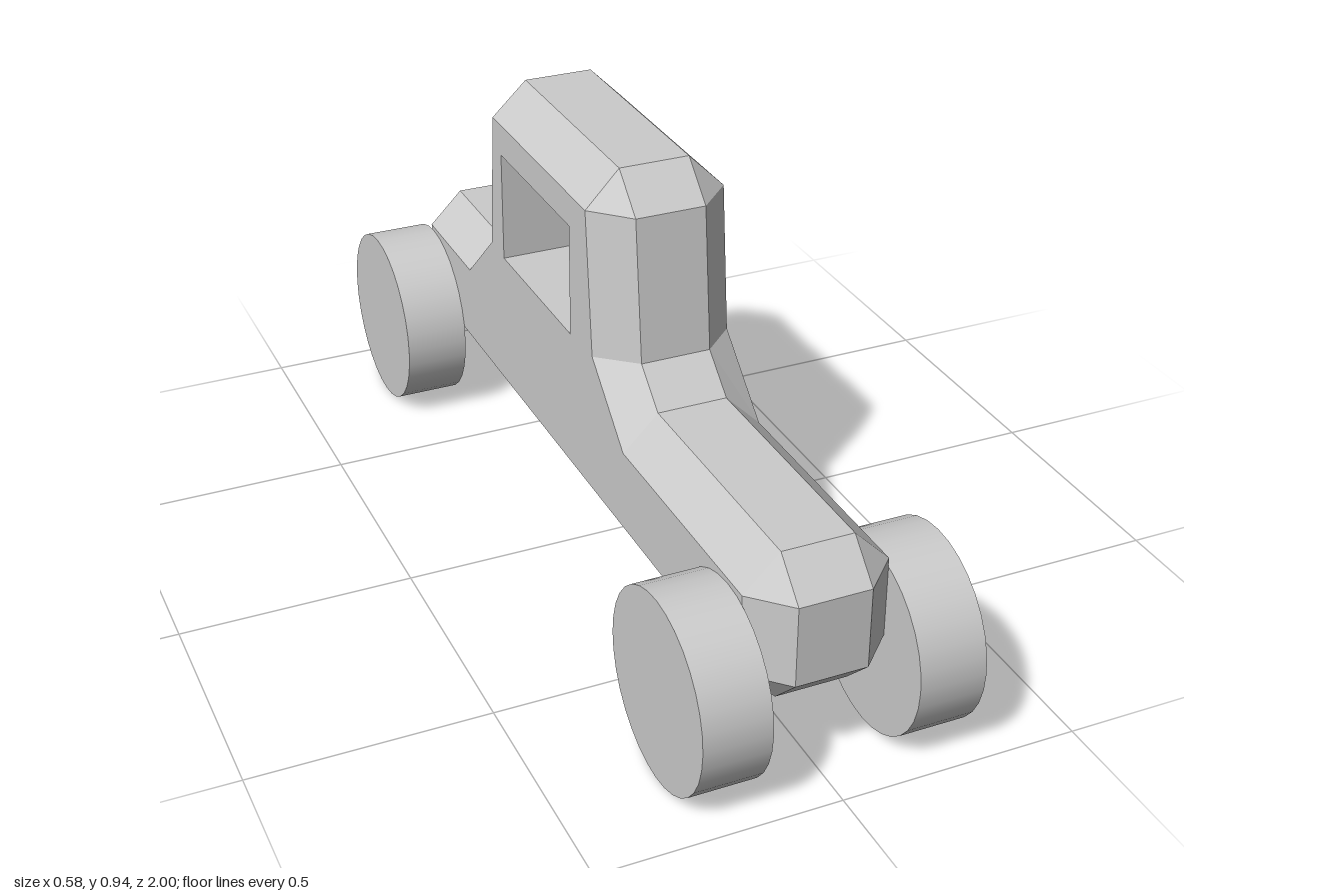
import * as THREE from 'three';

const SIDE = 0.15;   // half width of the flat sides
const MID = 0.075;   // half width of the strip inside the chamfer
const grey = (opts = {}) => new THREE.MeshStandardMaterial({ color: 0xcccccc, ...opts });

// Side outline corners [z, y], each with the chamfered outline point(s) it joins
const corners = [
  { s: [0.86, 0.237], o: [[0.86, 0.163], [0.935, 0.237]] },
  { s: [0.86, 0.41], o: [[0.935, 0.41], [0.86, 0.485]] },
  { s: [0.33, 0.41], o: [[0.33, 0.485]] },
  { s: [0.175, 0.55], o: [[0.25, 0.555]] },
  { s: [0.145, 0.86], o: [[0.22, 0.86], [0.14, 0.935]] },
  { s: [-0.365, 0.86], o: [[-0.36, 0.935], [-0.44, 0.86]] },
  { s: [-0.395, 0.55], o: [[-0.475, 0.555]] },
  { s: [-0.55, 0.41], o: [[-0.55, 0.485]] },
  { s: [-0.815, 0.41], o: [[-0.815, 0.485], [-0.89, 0.41]] },
  { s: [-0.815, 0.237], o: [[-0.89, 0.237], [-0.815, 0.163]] },
];
const opening = [[0.06, 0.545], [-0.32, 0.545], [-0.32, 0.79], [0.06, 0.79]];

const at = (x, [z, y]) => [x, y, z];

function facetMesh(name, triangles) {
  const geo = new THREE.BufferGeometry();
  geo.setAttribute('position', new THREE.Float32BufferAttribute(triangles.flat(2), 3));
  geo.computeVertexNormals();
  const mesh = new THREE.Mesh(geo, grey({ flatShading: true }));
  mesh.name = name;
  return mesh;
}

// Band across the body between half widths +x and -x, following a step p -> q
function band(x, p, q) {
  const [a, b, c, d] = [at(x, p), at(x, q), at(-x, q), at(-x, p)];
  return [[a, b, c], [a, c, d]];
}

// Middle strip plus the chamfers on both sides
function bodyShell() {
  const rungs = corners.flatMap(({ s, o }) => o.map(p => ({ s, p })));
  const tris = [];
  const both = (a, b, c) => {
    const flip = ([x, y, z]) => [-x, y, z];
    tris.push([a, b, c], [flip(a), flip(c), flip(b)]);
  };
  rungs.forEach((r, i) => {
    const n = rungs[(i + 1) % rungs.length];
    tris.push(...band(MID, r.p, n.p));
    if (r.s !== n.s) both(at(SIDE, r.s), at(SIDE, n.s), at(MID, n.p));
    both(at(SIDE, r.s), at(MID, n.p), at(MID, r.p));
  });
  return facetMesh('bodyShell', tris);
}

// Flat side with the window cut out
function sidePanel(sign) {
  const points = list => list.map(([z, y]) => new THREE.Vector2(-sign * z, y));
  const shape = new THREE.Shape(points(corners.map(c => c.s)));
  shape.holes.push(new THREE.Path(points(opening)));
  const geo = new THREE.ShapeGeometry(shape);
  geo.rotateY(sign * Math.PI / 2);
  geo.translate(sign * SIDE, 0, 0);
  const mesh = new THREE.Mesh(geo, grey({ flatShading: true }));
  mesh.name = sign > 0 ? 'leftSide' : 'rightSide';
  return mesh;
}

export function createModel() {
  const car = new THREE.Group();
  car.name = 'toyCar';

  const body = new THREE.Group();
  body.name = 'body';
  body.add(bodyShell(), sidePanel(1), sidePanel(-1));

  // Inner walls of the window opening
  const walls = opening.flatMap((p, i) => band(SIDE, p, opening[(i + 1) % 4]));
  body.add(facetMesh('windowOpening', walls));
  car.add(body);

  // Four wheels against the sides
  const wheelGeo = new THREE.CylinderGeometry(0.2, 0.2, 0.14, 32);
  wheelGeo.rotateZ(Math.PI / 2);
  for (const [end, z] of [['front', 0.8], ['back', -0.8]]) {
    for (const [side, sign] of [['Left', 1], ['Right', -1]]) {
      const wheel = new THREE.Mesh(wheelGeo, grey());
      wheel.name = `${end}${side}Wheel`;
      wheel.position.set(sign * (SIDE + 0.07), 0.2, z);
      car.add(wheel);
    }
  }
  return car;
}
